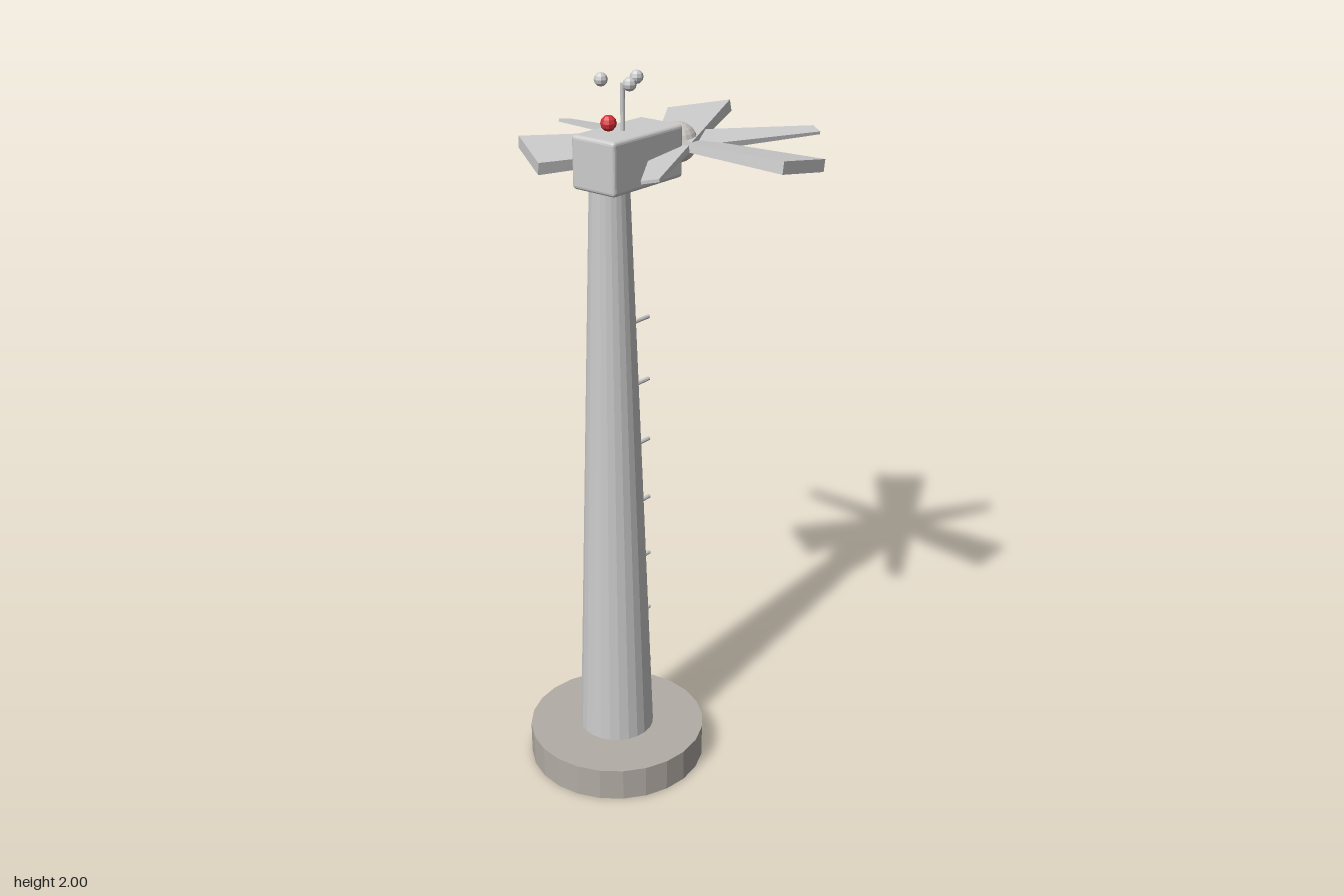
import * as THREE from 'three';
import { RoundedBoxGeometry } from 'three/addons/geometries/RoundedBoxGeometry.js';

const TOWER_X = -0.21, HEAD_Y = 1.785, HUB_X = 0.0625;

const paint = (color = 0xcccccc) => new THREE.MeshStandardMaterial({ color, flatShading: true });

export function createModel() {
  const model = new THREE.Group();
  const grey = paint(), stone = paint(0xb3aca6), pale = paint(0xccc6c0), red = paint(0xd83038);

  const add = (parent, name, geometry, material, x = 0, y = 0, z = 0) => {
    const mesh = new THREE.Mesh(geometry, material);
    mesh.name = name;
    mesh.position.set(x, y, z);
    parent.add(mesh);
    return mesh;
  };

  // Foundation and tapered tower
  add(model, 'foundation', new THREE.CylinderGeometry(0.255, 0.255, 0.095, 24), stone, TOWER_X, 0.0475, 0);
  add(model, 'tower', new THREE.CylinderGeometry(0.053, 0.107, 1.625, 24), grey, TOWER_X, 0.9075, 0);

  // Door and climbing rungs on the +x side
  add(model, 'door', new THREE.BoxGeometry(0.016, 0.105, 0.048), pale, -0.108, 0.325, 0);
  const ladder = new THREE.Group();
  ladder.name = 'ladder';
  model.add(ladder);
  const rungGeometry = new THREE.CylinderGeometry(0.006, 0.006, 0.11, 8).rotateZ(Math.PI / 2);
  for (let i = 0; i < 7; i++) {
    add(ladder, 'rung', rungGeometry, grey, -0.114, 0.233 + i * 0.1825, 0);
  }

  // Nacelle on top of the tower
  add(model, 'nacelle', new RoundedBoxGeometry(0.273, 0.14, 0.144, 2, 0.01), grey, -0.137, HEAD_Y, 0);

  // Rotor: three full-length blades, each wide at one end and narrow at the other
  const rotor = new THREE.Group();
  rotor.name = 'rotor';
  rotor.position.set(HUB_X, HEAD_Y, 0);
  model.add(rotor);
  add(rotor, 'hub', new THREE.SphereGeometry(0.055, 16, 12), pale);

  const bladeGeometry = new THREE.BoxGeometry(0.184, 0.033, 0.818);
  const corners = bladeGeometry.attributes.position;
  for (let i = 0; i < corners.count; i++) {
    if (corners.getZ(i) < 0) corners.setXY(i, corners.getX(i) * 0.25, corners.getY(i) * 0.25);
  }
  bladeGeometry.rotateZ(-0.16);
  bladeGeometry.computeVertexNormals();
  for (let i = 0; i < 3; i++) {
    add(rotor, 'blade', bladeGeometry, grey).rotation.y = i * Math.PI * 2 / 3;
  }

  // Warning light
  add(model, 'warningLight', new THREE.SphereGeometry(0.021, 8, 6), red, TOWER_X, 1.883, 0);

  // Wind gauge: mast with three small cups around it
  const gauge = new THREE.Group();
  gauge.name = 'windGauge';
  gauge.position.set(-0.156, 0, 0);
  model.add(gauge);
  add(gauge, 'mast', new THREE.CylinderGeometry(0.006, 0.006, 0.13, 8), grey, 0, 1.91, 0);
  const cupGeometry = new THREE.SphereGeometry(0.018, 8, 6);
  for (let i = 0; i < 3; i++) {
    const a = i * Math.PI * 2 / 3;
    add(gauge, 'cup', cupGeometry, grey, 0.055 * Math.cos(a), 1.982, 0.055 * Math.sin(a));
  }

  return model;
}
